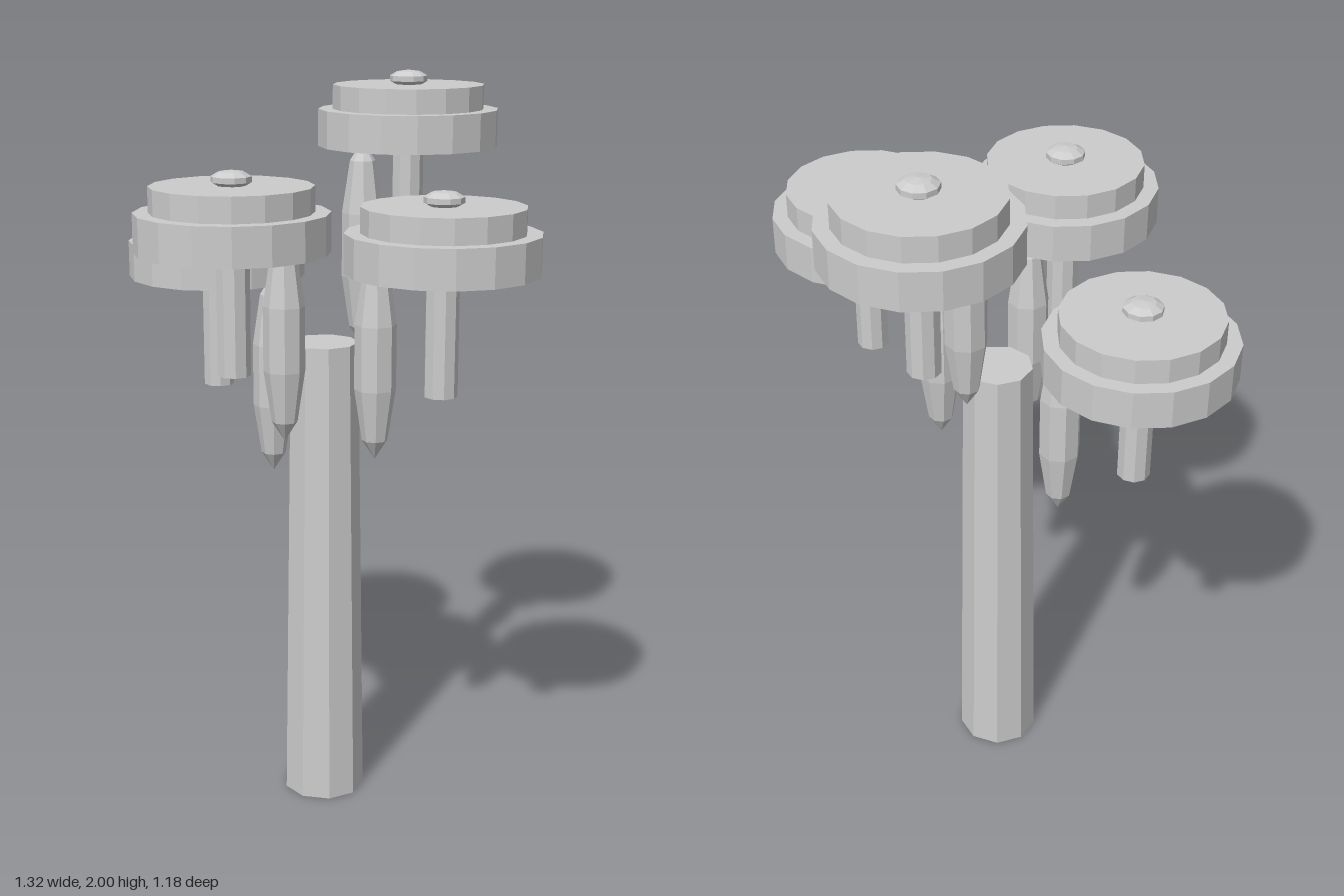
import * as THREE from 'three';

const grey = new THREE.MeshStandardMaterial({ color: 0xcccccc, flatShading: true });
grey.name = 'plainGrey';

function add(parent, name, geometry, x, y, z) {
  const mesh = new THREE.Mesh(geometry, grey);
  mesh.name = name;
  mesh.position.set(x, y, z);
  parent.add(mesh);
  return mesh;
}

// Upright cylinder whose base sits at the given height
function addColumn(parent, name, radius, bottom, top, sides) {
  return add(parent, name, new THREE.CylinderGeometry(radius, radius, top - bottom, sides), 0, (top + bottom) / 2, 0);
}

// Two-step cap with a knob on top and a short stem hanging below
function makeCap(name, x, y, z) {
  const cap = new THREE.Group();
  cap.name = name;
  cap.position.set(x, y, z);
  addColumn(cap, 'stem', 0.043, -0.315, 0.01, 9).rotation.y = Math.PI / 2;
  addColumn(cap, 'lowerDisc', 0.247, 0, 0.1, 16);
  addColumn(cap, 'upperDisc', 0.207, 0.1, 0.165, 16);
  const knob = new THREE.SphereGeometry(0.054, 10, 5);
  knob.scale(1, 0.42, 1);
  add(cap, 'knob', knob, 0, 0.181, 0);
  return cap;
}

export function createModel() {
  const model = new THREE.Group();
  model.name = 'capTree';

  // Tapered nine-sided trunk with a corner towards +x
  const trunk = add(model, 'trunk', new THREE.CylinderGeometry(0.093, 0.113, 1.305, 9), 0, 0.6525, 0);
  trunk.rotation.y = Math.PI / 2;

  // Caps at different heights, each with a spindle pod on its inner side
  const branches = [
    { name: 'right', cap: [-0.415, 1.435, -0.01], pod: [-0.19, 0] },
    { name: 'left', cap: [0.415, 1.545, 0.02], pod: [0.19, 0.01] },
    { name: 'front', cap: [0, 1.59, 0.34], pod: [0, 0.155] },
    { name: 'back', cap: [0, 1.8, -0.345], pod: [0, -0.155] },
  ];
  for (const { name, cap, pod } of branches) {
    model.add(makeCap(name + 'Cap', ...cap));
    const spindle = new THREE.SphereGeometry(0.058, 8, 5);
    spindle.scale(1, 4.8, 1);
    add(model, name + 'Pod', spindle, pod[0], cap[1] - 0.25, pod[1]);
  }
  return model;
}
